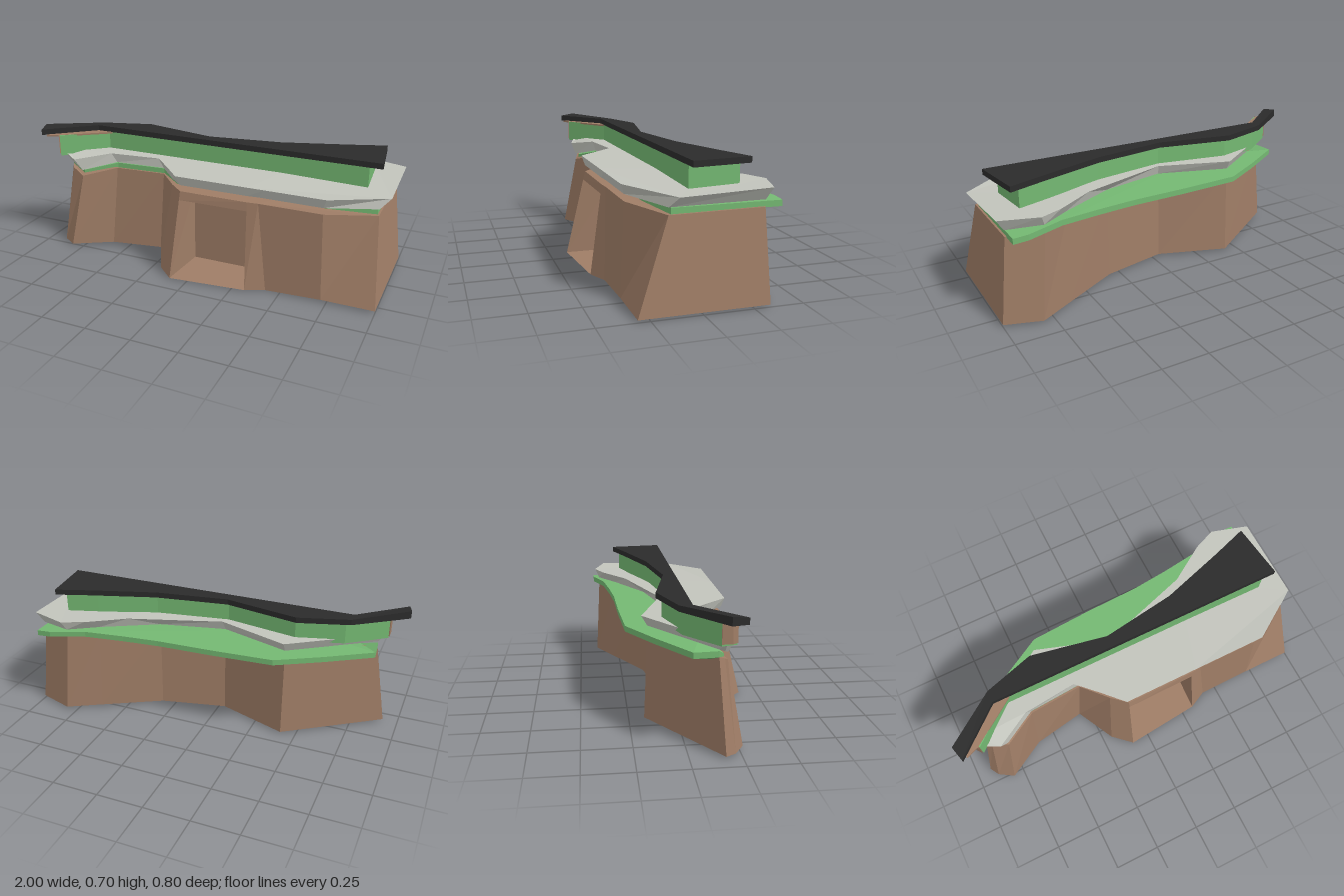
import * as THREE from 'three';

const paint = (color) => new THREE.MeshStandardMaterial({ color, flatShading: true, side: THREE.DoubleSide });

// Turn a list of corner points (three per triangle) into a faceted mesh
function facets(name, points, material) {
  const g = new THREE.BufferGeometry();
  g.setAttribute('position', new THREE.Float32BufferAttribute(points.flat(), 3));
  g.computeVertexNormals();
  const mesh = new THREE.Mesh(g, material);
  mesh.name = name;
  return mesh;
}

const quad = (a, b, c, d) => [a, b, c, a, c, d];

// Closed solid between two matching rings, counter-clockwise from above; one side may be left open
function loft(name, low, high, material, open = -1) {
  const out = [];
  const n = low.length;
  for (let i = 0; i < n; i++) {
    const j = (i + 1) % n;
    if (i !== open) out.push(...quad(low[i], low[j], high[j], high[i]));
  }
  const cap = (ring) => THREE.ShapeUtils.triangulateShape(ring.map((p) => new THREE.Vector2(p[0], -p[2])), []);
  for (const [a, b, c] of cap(high)) out.push(high[a], high[b], high[c]);
  for (const [a, b, c] of cap(low)) out.push(low[a], low[c], low[b]);
  return facets(name, out, material);
}

// Rings from [x, z, y?] rows
const ring = (rows, y) => rows.map(([x, z, own]) => [x, own ?? y, z]);
const lift = (pts, dy) => pts.map(([x, y, z]) => [x, y + dy, z]);

// Foot of the sloping walls
const FOOT = [
  [1, 0.31], [1, -0.33], [0.81, -0.39], [0.63, -0.29], [0.32, -0.12], [-0.04, -0.04],
  [-0.42, -0.17], [-0.92, 0.17], [-0.89, 0.22], [-0.81, 0.27], [-0.6, 0.15], [-0.31, 0.1],
  [-0.2, 0.31, 0.005], [-0.1, 0.4, 0.003], [0.32, 0.36, 0.003], [0.42, 0.31, 0], [0.72, 0.31],
];
// Head of the sloping walls
const HEAD = [
  [0.95, 0.155, 0.46], [0.95, -0.31, 0.465], [0.77, -0.365], [0.62, -0.27], [0.32, -0.11], [-0.04, -0.03],
  [-0.42, -0.15], [-0.85, 0.14], [-0.83, 0.17, 0.46], [-0.75, 0.2, 0.43], [-0.57, 0.11], [-0.28, 0.09],
  [-0.16, 0.22], [-0.08, 0.29], [0.3, 0.29], [0.36, 0.285], [0.7, 0.285],
];
// Upper edge of the terrace, with sagging front corners
const DECK = [
  [1, 0.12, 0.547], [0.99, -0.33], [0.79, -0.39], [0.67, -0.34], [0.47, -0.21], [-0.03, -0.05],
  [-0.42, -0.18], [-0.88, 0.13], [-0.9, 0.17], [-0.79, 0.22, 0.53], [-0.6, 0.12], [-0.31, 0.09],
  [-0.2, 0.2], [-0.1, 0.305], [0.31, 0.305], [0.4, 0.305], [0.72, 0.305],
];
// Planting ledge, much wider at the back
const LEDGE = [
  [0.94, 0.14, 0.46], [0.94, -0.4, 0.46], [0.86, -0.4, 0.465], [0.67, -0.34], [0.45, -0.31], [0.25, -0.29],
  [-0.06, -0.28], [-0.39, -0.26], [-0.62, -0.13], [-0.86, 0.02], [-0.85, 0.14], [-0.75, 0.18, 0.43],
  [-0.57, 0.1], [-0.28, 0.08], [-0.14, 0.2], [0.7, 0.2],
];
const UPPER = [
  [0.86, 0.03], [0.84, -0.23], [0.67, -0.18], [0.35, -0.075], [-0.05, -0.01],
  [-0.45, -0.08], [-0.7, -0.01], [-0.9, 0.14], [-0.88, 0.215], [-0.66, 0.03],
];
const ROOF = [
  [0.93, 0.035, 0.69], [0.89, -0.265, 0.69], [0.7, -0.2, 0.69], [0.35, -0.09, 0.69], [-0.05, -0.03, 0.69],
  [-0.46, -0.11, 0.69], [-0.73, -0.03, 0.69], [-1, 0.165, 0.702], [-0.98, 0.245, 0.692], [-0.73, 0.035, 0.691],
];

export function createModel() {
  const group = new THREE.Group();
  group.name = 'building';
  const brown = paint(0x9f7d66);
  const green = paint(0x74b872);
  const grey = paint(0xc2c4bc);
  const black = paint(0x2b2b2b);

  // Sloping walls with the entrance side left open
  const door = 13;
  const foot = ring(FOOT, 0.012);
  const head = ring(HEAD, 0.475);
  group.add(loft('baseWalls', foot, head, brown, door));

  // Entrance niche: lintel, jambs, ceiling, floor and back wall
  const [l, r] = [foot[door], foot[door + 1]];
  const [tl, tr] = [head[door], head[door + 1]];
  const part = (a, b, t) => a.map((v, i) => v + (b[i] - v) * t);
  const [pl, pr] = [part(l, tl, 0.9), part(r, tr, 0.9)];
  const [bl, br, cl, cr] = [[-0.07, 0.012, 0.13], [0.33, 0.012, 0.13], [-0.07, 0.43, 0.13], [0.32, 0.43, 0.13]];
  group.add(facets('entranceNiche', [
    ...quad(pl, pr, tr, tl),
    ...quad(bl, br, cr, cl),
    ...quad(l, bl, cl, pl),
    ...quad(br, r, pr, cr),
    ...quad(cl, cr, pr, pl),
    ...quad(l, r, br, bl),
  ], brown));

  // Planting ledge and terrace
  const ledge = ring(LEDGE, 0.473);
  group.add(loft('greenLedge', ledge, lift(ledge, 0.03), green));
  group.add(loft('terrace', lift(head, 0.035), ring(DECK, 0.562), grey));

  // Upper storey with its brown end panel and soffit
  group.add(loft('upperStorey', ring(UPPER, 0.54), ring(UPPER, 0.66), green));
  const panel = [[-0.88, 0.14], [-0.905, 0.14], [-0.905, 0.19], [-0.885, 0.217]];
  group.add(loft('endPanel', ring(panel, 0.55), ring(panel, 0.66), brown));
  const soffit = [[-0.64, 0.035], [-0.75, 0.02], [-0.97, 0.18], [-0.955, 0.235], [-0.88, 0.205]];
  group.add(loft('soffit', ring(soffit, 0.652), ring(soffit, 0.661), brown));

  // Thin roof slab, slightly raised at its narrow end
  const roofTop = ring(ROOF);
  group.add(loft('roof', roofTop.map(([x, , z]) => [x, 0.66, z]), roofTop, black));

  return group;
}
